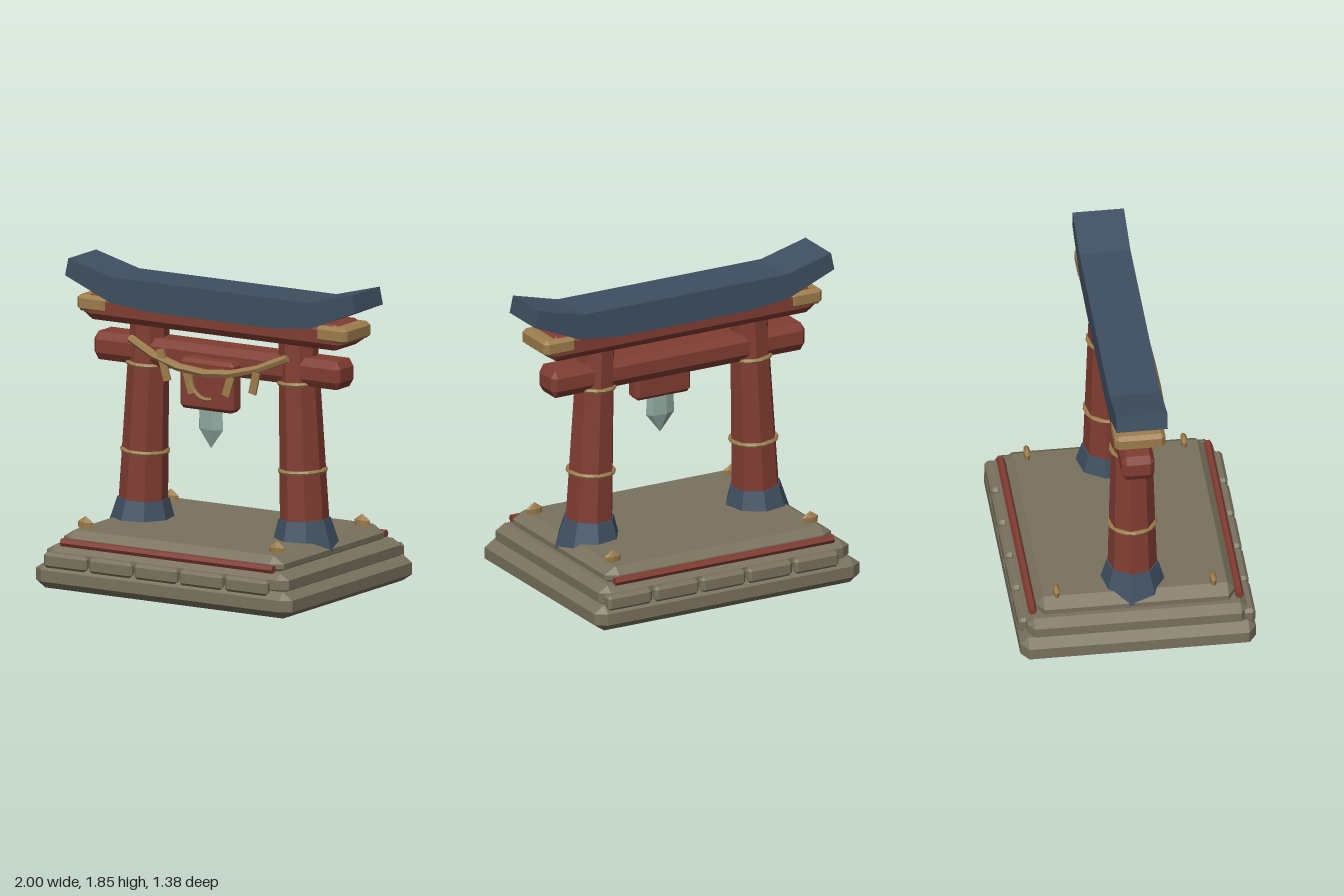
import * as THREE from 'three';
import { ConvexGeometry } from 'three/addons/geometries/ConvexGeometry.js';

const mat = (name, color) => new THREE.MeshStandardMaterial({ name, color, flatShading: true });

export function createModel() {
  const stone = mat('stone', 0x7a725e);
  const red = mat('red wood', 0x813d32);
  const slate = mat('slate blue', 0x3f4f60);
  const gold = mat('rope gold', 0x9c7c4c);
  const crystalGreen = mat('pale crystal', 0x8fa89f);

  const root = new THREE.Group();
  root.name = 'shrineGate';

  const add = (name, geo, material, x = 0, y = 0, z = 0, parent = root) => {
    const m = new THREE.Mesh(geo, material);
    m.name = name;
    m.position.set(x, y, z);
    parent.add(m);
    return m;
  };

  // Box with chamfered edges: half sizes and chamfer along each axis
  const chamferBox = (hx, hy, hz, cx, cy = cx, cz = cx) => {
    const pts = [];
    for (const x of [-1, 1]) for (const y of [-1, 1]) for (const z of [-1, 1]) {
      pts.push(
        new THREE.Vector3(x * hx, y * (hy - cy), z * (hz - cz)),
        new THREE.Vector3(x * (hx - cx), y * hy, z * (hz - cz)),
        new THREE.Vector3(x * (hx - cx), y * (hy - cy), z * hz));
    }
    return new ConvexGeometry(pts);
  };

  // Straight round bar between two points
  const rod = (name, a, b, r, material, sides = 6) => {
    const d = b.clone().sub(a);
    const m = add(name, new THREE.CylinderGeometry(r, r, d.length(), sides), material);
    m.position.copy(a).add(b).multiplyScalar(0.5);
    m.quaternion.setFromUnitVectors(new THREE.Vector3(0, 1, 0), d.normalize());
    return m;
  };

  // Stepped base
  add('lowerStep', chamferBox(0.885, 0.0775, 0.69, 0.065, 0.043, 0.045), stone, 0, 0.0775);
  add('middleStep', chamferBox(0.835, 0.065, 0.645, 0.06, 0.036, 0.04), stone, 0, 0.19);
  add('upperStep', chamferBox(0.757, 0.06, 0.582, 0.072, 0.045, 0.043), stone, 0, 0.28);

  // Facing stones and rails on the front and back
  for (const s of [1, -1]) {
    for (let i = 0; i < 5; i++) {
      add('facingStone', chamferBox(0.147, 0.047, 0.04, 0.018), stone,
        s * (-0.665 + i * 0.312), 0.171, s * 0.65);
    }
    const rail = add('baseRail', new THREE.CylinderGeometry(0.025, 0.025, 1.46, 6), red, 0, 0.272, s * 0.606);
    rail.rotation.z = Math.PI / 2;
  }

  // Flattened corner finials
  const finial = new THREE.LatheGeometry(
    [[0, 0], [0.05, 0], [0.054, 0.035], [0, 0.072]].map(([x, y]) => new THREE.Vector2(x, y)), 8);
  for (const x of [-0.66, 0.66]) for (const z of [-0.46, 0.46]) {
    add('cornerFinial', finial, gold, x, 0.338, z).scale.z = 0.38;
  }

  // Leaning eight-sided pillars with collars and rope bands
  const turn = -0.18;
  for (const s of [-1, 1]) {
    const pillar = new THREE.Group();
    pillar.name = s > 0 ? 'leftPillar' : 'rightPillar';
    pillar.position.set(s * 0.562, 0.3, 0);
    pillar.rotation.z = s * 0.042;
    root.add(pillar);
    add('shaft', new THREE.CylinderGeometry(0.113, 0.148, 1.24, 8), red, 0, 0.62, 0, pillar).rotation.y = turn;
    add('collar', new THREE.CylinderGeometry(0.152, 0.205, 0.18, 8), slate, 0, 0.065, 0, pillar).rotation.y = turn;
    for (const [y, r] of [[0.44, 0.134], [0.96, 0.12]]) {
      add('ropeBand', new THREE.TorusGeometry(r, 0.014, 6, 16), gold, 0, y, 0, pillar).rotation.x = Math.PI / 2;
    }
  }

  // Crossbeams and gold end caps
  add('lowerBeam', chamferBox(0.848, 0.084, 0.097, 0.028, 0.045, 0.028), red, 0, 1.338);
  add('upperBeam', chamferBox(0.895, 0.078, 0.14, 0.06, 0.04, 0.03), red, 0, 1.575);
  for (const s of [-1, 1]) {
    add('beamCap', chamferBox(0.108, 0.049, 0.149, 0.025, 0.02, 0.025), gold, s * 0.822, 1.592);
  }

  // Upswept roof
  const half = [[0.68, 1.77], [0.978, 1.848], [1, 1.745], [0.69, 1.617], [0.42, 1.59]];
  const outline = [...half, ...half.map(([x, y]) => [-x, y]).reverse()].map(([x, y]) => new THREE.Vector2(x, y));
  add('roof', new THREE.ExtrudeGeometry(new THREE.Shape(outline), { depth: 0.3, bevelEnabled: false }),
    slate, 0, 0, -0.15);

  // Hanging plaque, crescent and crystal
  add('plaque', chamferBox(0.185, 0.15, 0.056, 0.022), red, 0, 1.21, 0.145);
  const crescent = add('crescent', new THREE.TorusGeometry(0.105, 0.011, 5, 10, 2.3), gold, 0.015, 1.238, 0.21);
  crescent.rotation.z = 2.75;
  const crystal = new THREE.LatheGeometry(
    [[0, 0.83], [0.092, 0.945], [0.086, 1.075], [0, 1.09]].map(([x, y]) => new THREE.Vector2(x, y)), 6);
  crystal.rotateY(-0.25 + Math.PI / 6);
  add('crystal', crystal, crystalGreen, 0, 0, 0.14).scale.z = 0.4;

  // Sagging rope
  const ropePoints = [-3, -2, -1, 0, 1, 2, 3].map((i) => {
    const t = (i / 3) ** 2;
    return new THREE.Vector3(i * 0.18, 1.288 + 0.14 * t, 0.215 - 0.048 * t);
  });
  for (let i = 0; i < 6; i++) rod('rope', ropePoints[i], ropePoints[i + 1], 0.025, gold);

  // Streamers: x, y, height, tilt
  for (const [x, y, h, tilt] of [
    [-0.28, 1.305, 0.19, 0.28], [-0.105, 1.225, 0.14, 0.3], [0.165, 1.225, 0.12, -0.3], [0.345, 1.265, 0.13, -0.22],
  ]) {
    const st = add('streamer', new THREE.BoxGeometry(0.05, h, 0.012), gold, x, y, 0.212);
    st.rotation.z = tilt;
  }

  return root;
}
